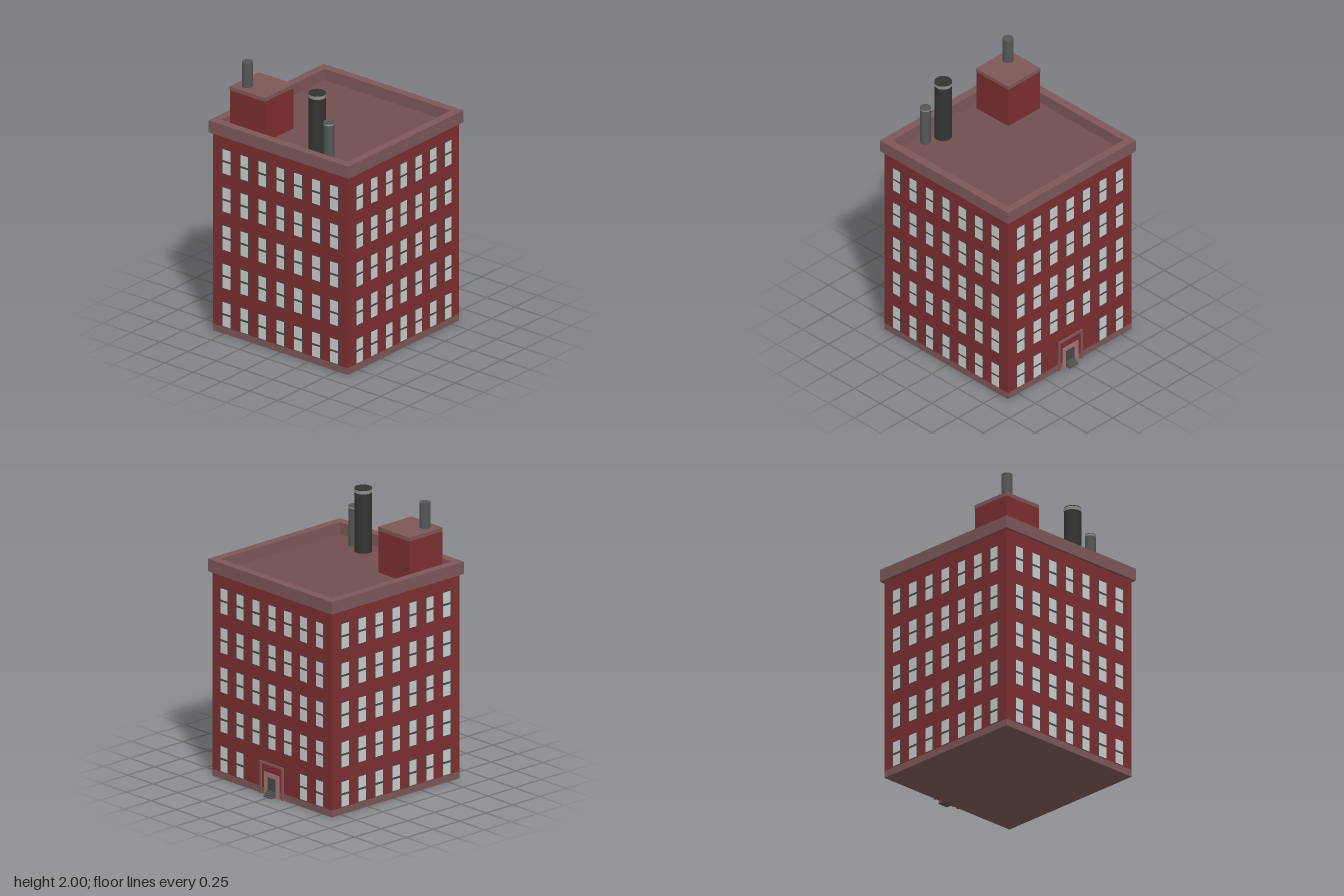
import * as THREE from 'three';
import { mergeGeometries } from 'three/addons/utils/BufferGeometryUtils.js';

const mat = (color) => new THREE.MeshStandardMaterial({ color });
const BRICK = mat(0x7c2e30), TRIM = mat(0x7d5757), ROOF = mat(0x704e4e), PALE = mat(0xa87474);
const PANE = mat(0xcccccc), FRAME = mat(0x46494a), DARK = mat(0x323432), METAL = mat(0x555757), BAND = mat(0x8c8e8c);

// Box geometry given by its lower and upper corners
function span(x0, x1, y0, y1, z0, z1) {
  return new THREE.BoxGeometry(x1 - x0, y1 - y0, z1 - z0)
    .translate((x0 + x1) / 2, (y0 + y1) / 2, (z0 + z1) / 2);
}

function add(parent, name, geometry, material) {
  const mesh = new THREE.Mesh(geometry, material);
  mesh.name = name;
  parent.add(mesh);
  return mesh;
}

// Five rows of seven sash windows on a wall facing +z
function facade(half, hasDoor) {
  const group = new THREE.Group();
  const frames = [], panes = [];
  for (let row = 0; row < 5; row++) {
    for (let col = -3; col <= 3; col++) {
      if (hasDoor && row === 0 && Math.abs(col) < 2) continue;
      const x = col * 0.159, y = 0.146 + row * 0.286;
      frames.push(span(x - 0.04, x + 0.04, y - 0.095, y + 0.095, half - 0.01, half + 0.002));
      panes.push(span(x - 0.034, x + 0.034, y + 0.008, y + 0.09, half - 0.01, half + 0.004));
      panes.push(span(x - 0.034, x + 0.034, y - 0.09, y - 0.008, half - 0.01, half + 0.004));
    }
  }
  add(group, 'windowFrames', mergeGeometries(frames), FRAME);
  add(group, 'windowPanes', mergeGeometries(panes), PANE);
  return group;
}

// Upright portal: two posts and a lintel on a wall facing +z
function portal(w, h, t, z0, z1) {
  return mergeGeometries([
    span(-w, -w + t, 0, h, z0, z1),
    span(w - t, w, 0, h, z0, z1),
    span(-w + t, w - t, h - t, h, z0, z1),
  ]);
}

// Round stack with an optional light band below its rim
function stack(parent, name, x, z, r, y0, y1, material, band) {
  const group = new THREE.Group();
  group.name = name;
  group.position.set(x, 0, z);
  add(group, 'pipe', new THREE.CylinderGeometry(r, r, y1 - y0, 32).translate(0, (y0 + y1) / 2, 0), material);
  if (band) {
    add(group, 'band', new THREE.CylinderGeometry(r + 0.001, r + 0.001, band, 32, 1, true)
      .translate(0, y1 - 0.006 - band / 2, 0), BAND);
  }
  parent.add(group);
}

export function createModel() {
  const model = new THREE.Group();
  model.name = 'brickBuilding';
  const half = 0.598, roofY = 1.485;

  // Main block, centred on its own axis
  const block = new THREE.Group();
  block.name = 'block';
  block.position.x = -0.013;
  model.add(block);
  add(block, 'walls', span(-half, half, 0.05, 1.48, -half, half), BRICK);
  add(block, 'plinth', span(-half, half, 0, 0.05, -half, half), TRIM);
  add(block, 'roof', span(-0.57, 0.57, 1.47, roofY, -0.57, 0.57), ROOF);

  // Parapet ring
  const square = (path, s) => path.moveTo(-s, -s).lineTo(s, -s).lineTo(s, s).lineTo(-s, s).closePath();
  const ring = square(new THREE.Shape(), 0.619);
  ring.holes.push(square(new THREE.Path(), 0.558));
  const parapet = new THREE.ExtrudeGeometry(ring, { depth: 0.09, bevelEnabled: false })
    .rotateX(-Math.PI / 2).translate(0, 1.48, 0);
  add(block, 'parapet', parapet, TRIM);

  // Windows on all four sides; the entrance is on the +x side
  ['front', 'left', 'back', 'right'].forEach((side, i) => {
    const wall = facade(half, i === 1);
    wall.name = side + 'Windows';
    wall.rotation.y = i * Math.PI / 2;
    block.add(wall);
  });

  // Entrance with nested surrounds, door and steps
  const entrance = new THREE.Group();
  entrance.name = 'entrance';
  entrance.rotation.y = Math.PI / 2;
  block.add(entrance);
  add(entrance, 'outerSurround', portal(0.116, 0.236, 0.015, half - 0.01, half + 0.012), TRIM);
  add(entrance, 'brickPanel', span(-0.101, 0.101, 0.05, 0.221, half - 0.01, half + 0.003), BRICK);
  add(entrance, 'innerSurround', portal(0.075, 0.166, 0.033, half - 0.01, half + 0.007), PALE);
  add(entrance, 'door', span(-0.042, 0.042, 0, 0.145, half - 0.01, half + 0.005), FRAME);
  const steps = [];
  for (let i = 0; i < 4; i++) {
    steps.push(span(-0.04, 0.04, i * 0.01, (i + 1) * 0.01, half - 0.01, half + 0.043 - i * 0.009));
  }
  add(entrance, 'steps', mergeGeometries(steps), METAL);

  // Rooftop stair house
  const house = new THREE.Group();
  house.name = 'stairHouse';
  model.add(house);
  add(house, 'houseWalls', span(-0.526, -0.217, roofY, 1.788, -0.516, -0.207), BRICK);
  add(house, 'houseCap', span(-0.528, -0.215, 1.788, 1.816, -0.518, -0.205), TRIM);

  // Chimney stacks
  stack(model, 'houseChimney', -0.443, -0.43, 0.038, 1.81, 2.0, METAL, 0);
  stack(model, 'largeChimney', -0.448, 0.192, 0.06, roofY, 1.945, DARK, 0.025);
  stack(model, 'smallChimney', -0.486, 0.326, 0.037, roofY, 1.776, METAL, 0.012);

  return model;
}
